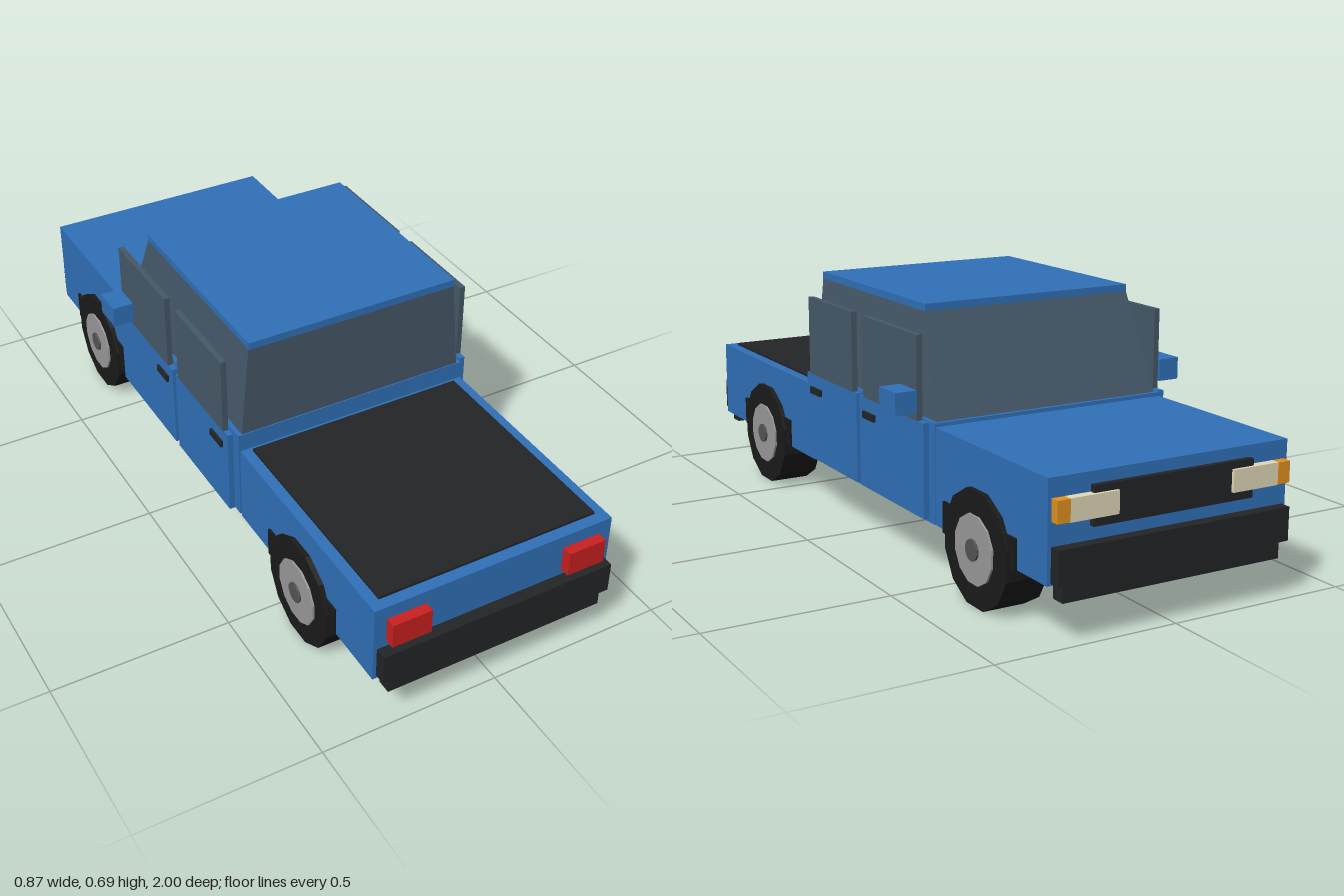
import * as THREE from 'three';

const mat = (color) => new THREE.MeshStandardMaterial({ color, flatShading: true });

export function createModel() {
  const truck = new THREE.Group();
  const blue = mat(0x3070b8), black = mat(0x222426), tyreBlack = mat(0x1a1a1a);
  const glass = mat(0x455868), red = mat(0xc82020), cream = mat(0xe0d8b8);
  const orange = mat(0xe09020), silver = mat(0x999999), grey = mat(0x555555);

  const add = (name, geometry, material, parent = truck) => {
    const mesh = new THREE.Mesh(geometry, material);
    mesh.name = name;
    parent.add(mesh);
    return mesh;
  };
  // Box given by its limits on each axis
  const box = (name, material, [x0, x1], [y0, y1], [z0, z1]) => {
    const mesh = add(name, new THREE.BoxGeometry(x1 - x0, y1 - y0, z1 - z0), material);
    mesh.position.set((x0 + x1) / 2, (y0 + y1) / 2, (z0 + z1) / 2);
    return mesh;
  };
  // Centred box, and a mirrored pair of boxes
  const wide = (name, material, w, y, z) => box(name, material, [-w, w], y, z);
  const pair = (name, material, [x0, x1], y, z) => {
    box(name + 'Left', material, [x0, x1], y, z);
    box(name + 'Right', material, [-x1, -x0], y, z);
  };

  // Body
  wide('hood', blue, 0.345, [0.145, 0.4], [-0.97, -0.45]);
  wide('cabLower', blue, 0.347, [0.145, 0.41], [-0.45, 0.278]);
  wide('bed', blue, 0.345, [0.14, 0.363], [0.283, 0.967]);
  wide('bedCover', black, 0.315, [0.355, 0.37], [0.297, 0.935]);
  wide('bedUnderside', black, 0.31, [0.125, 0.145], [0.285, 0.88]);

  // Cab glass: a box narrowed at the top, with a raked windscreen
  const cabin = new THREE.BoxGeometry(0.67, 0.265, 0.715);
  cabin.translate(0, 0.54, -0.0825);
  const p = cabin.attributes.position;
  for (let i = 0; i < p.count; i++) {
    if (p.getY(i) < 0.54) continue;
    p.setX(i, Math.sign(p.getX(i)) * 0.31);
    if (p.getZ(i) < 0) p.setZ(i, -0.335);
  }
  cabin.computeVertexNormals();
  add('cabGlass', cabin, glass);
  wide('roof', blue, 0.31, [0.671, 0.692], [-0.335, 0.277]);

  // Doors, windows, handles and mirrors
  pair('frontDoor', blue, [0.355, 0.371], [0.16, 0.41], [-0.435, -0.075]);
  pair('rearDoor', blue, [0.355, 0.371], [0.16, 0.41], [-0.055, 0.263]);
  pair('frontWindow', glass, [0.357, 0.373], [0.41, 0.63], [-0.405, -0.1]);
  pair('rearWindow', glass, [0.357, 0.373], [0.41, 0.63], [-0.035, 0.24]);
  pair('frontHandle', black, [0.365, 0.378], [0.354, 0.373], [-0.168, -0.102]);
  pair('rearHandle', black, [0.365, 0.378], [0.354, 0.373], [0.168, 0.234]);
  pair('mirror', blue, [0.375, 0.436], [0.43, 0.49], [-0.41, -0.322]);

  // Bumpers and lights at both ends
  wide('rearBumper', black, 0.335, [0.15, 0.237], [0.963, 1]);
  wide('rearBumperLower', black, 0.315, [0.105, 0.152], [0.953, 0.992]);
  wide('frontBumper', black, 0.335, [0.15, 0.237], [-1, -0.965]);
  wide('frontBumperLower', black, 0.315, [0.105, 0.152], [-0.99, -0.95]);
  pair('tailLight', red, [0.2, 0.31], [0.255, 0.325], [0.965, 0.995]);
  wide('grille', black, 0.23, [0.272, 0.37], [-0.985, -0.965]);
  pair('headlight', cream, [0.165, 0.3], [0.295, 0.352], [-0.993, -0.965]);
  pair('indicator', orange, [0.3, 0.335], [0.297, 0.352], [-0.995, -0.965]);

  // Wheels and their flares
  const disc = (radius, length) =>
    new THREE.CylinderGeometry(radius, radius, length, 12).rotateY(Math.PI / 12).rotateZ(Math.PI / 2);
  for (const [end, z] of [['front', -0.67], ['rear', 0.62]]) {
    pair(end + 'Flare', tyreBlack, [0.335, 0.352], [0.14, 0.222], [z - 0.172, z + 0.172]);
    for (const side of [1, -1]) {
      const wheel = new THREE.Group();
      wheel.name = end + (side > 0 ? 'LeftWheel' : 'RightWheel');
      wheel.position.set(side * 0.3, 0.147, z);
      add('tyre', disc(0.152, 0.117), tyreBlack, wheel);
      add('rim', disc(0.09, 0.02), silver, wheel).position.x = side * 0.054;
      add('hubCap', disc(0.028, 0.02), grey, wheel).position.x = side * 0.06;
      truck.add(wheel);
    }
  }
  return truck;
}
